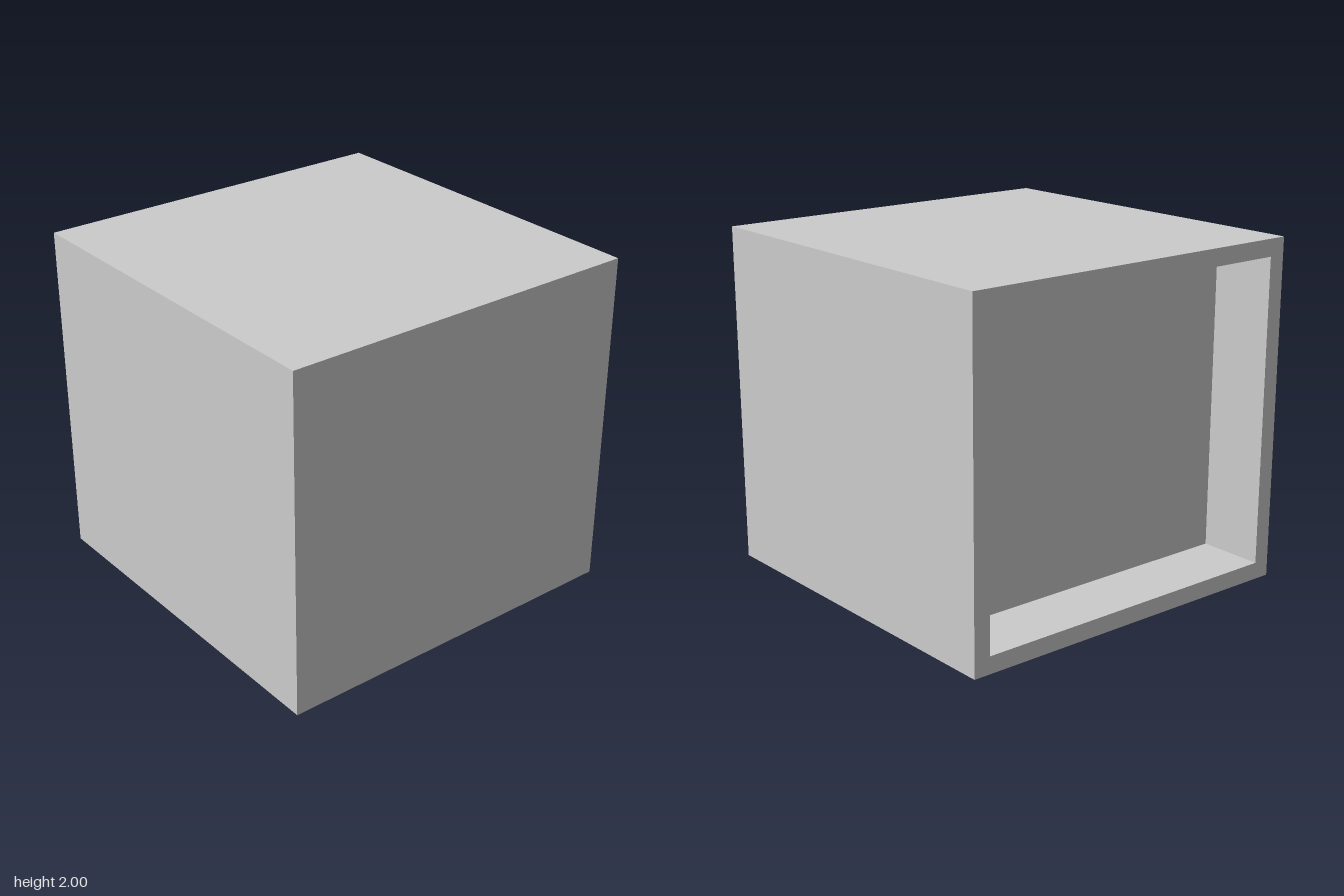
import * as THREE from 'three';

const material = new THREE.MeshStandardMaterial({ color: 0xcccccc, flatShading: true });

// Closed solid through rectangular rings [halfWidth, halfHeight, z], capped at both ends
function ringSolid(rings) {
  const corners = rings.map(([w, h, z]) => [[-w, -h, z], [w, -h, z], [w, h, z], [-w, h, z]]);
  const positions = [];
  const quad = (a, b, c, d) => positions.push(...a, ...b, ...c, ...a, ...c, ...d);

  const first = corners[0];
  const last = corners[corners.length - 1];
  quad(...first);
  for (let i = 0; i < corners.length - 1; i++) {
    for (let j = 0; j < 4; j++) {
      const k = (j + 1) % 4;
      quad(corners[i][j], corners[i + 1][j], corners[i + 1][k], corners[i][k]);
    }
  }
  quad(last[0], last[3], last[2], last[1]);

  const geometry = new THREE.BufferGeometry();
  geometry.setAttribute('position', new THREE.Float32BufferAttribute(positions, 3));
  geometry.computeVertexNormals();
  return geometry;
}

export function createModel() {
  const model = new THREE.Group();
  model.name = 'boxOnPost';

  const halfW = 0.905, halfD = 0.91, bottom = 0.34, top = 2;
  const halfH = (top - bottom) / 2;
  const rim = 0.083, recess = 0.33;

  // Box body: front face, outer walls, back rim, recess walls and recess floor
  const body = new THREE.Mesh(ringSolid([
    [halfW, halfH, halfD],
    [halfW, halfH, -halfD],
    [halfW - rim, halfH - rim, -halfD],
    [halfW - rim, halfH - rim, -halfD + recess],
  ]), material);
  body.name = 'recessedBox';
  body.position.y = bottom + halfH;
  model.add(body);

  // Ten-sided post under the box, with corners on the x axis
  const postGeometry = new THREE.CylinderGeometry(0.18, 0.18, bottom, 10);
  postGeometry.rotateY(Math.PI / 2);
  const post = new THREE.Mesh(postGeometry, material);
  post.name = 'post';
  post.position.set(0.015, bottom / 2, 0.002);
  model.add(post);

  return model;
}
